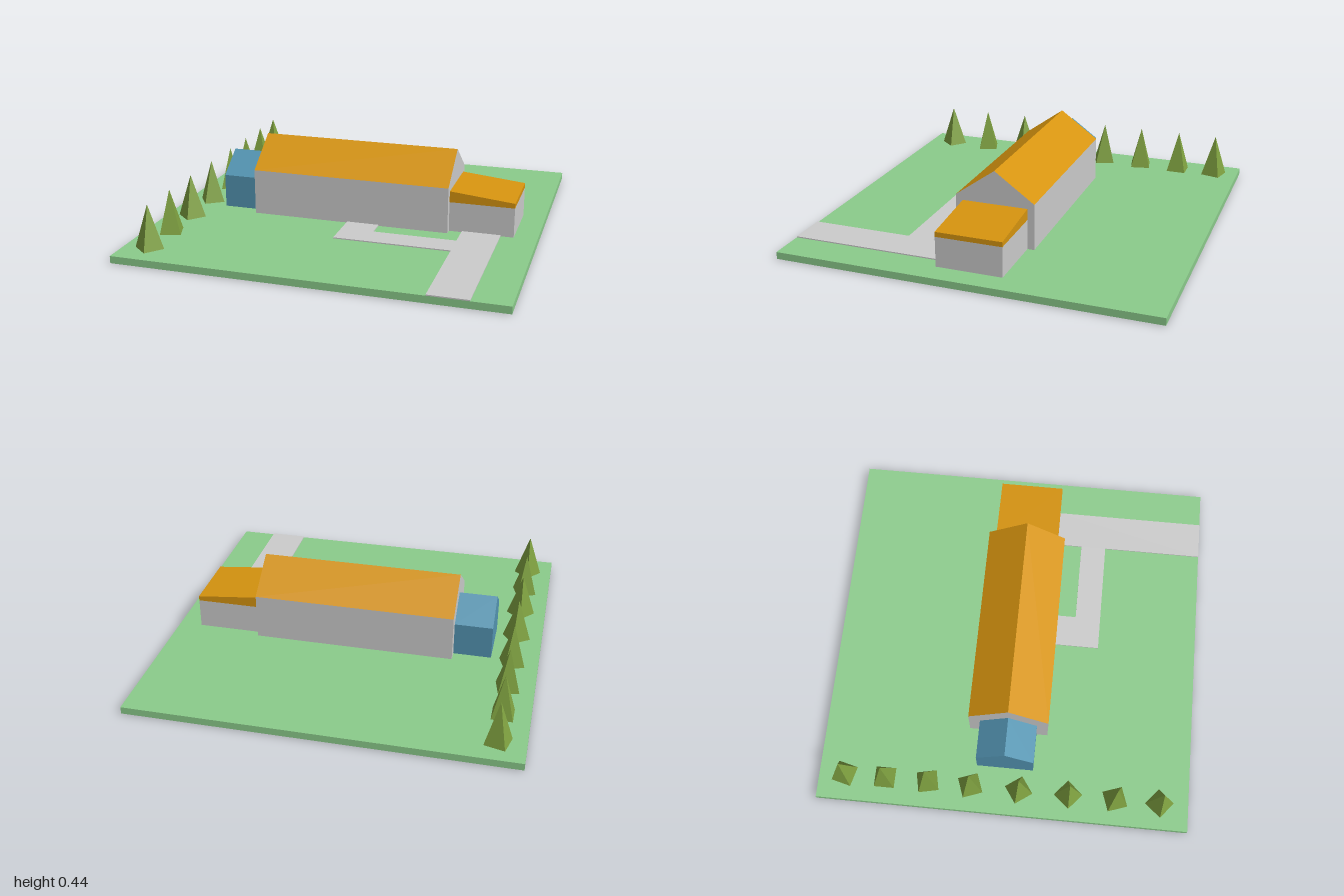
import * as THREE from 'three';

const mat = (name, color) => {
  const m = new THREE.MeshStandardMaterial({ color });
  m.name = name;
  return m;
};

export function createModel() {
  const grass = mat('grass', 0x8bcb8b);
  const wall = mat('wall grey', 0xcbcbcb);
  const roof = mat('roof orange', 0xd6940f);
  const blue = mat('annex blue', 0x5394b1);
  const leaf = mat('tree green', 0x7fa140);

  const model = new THREE.Group();
  model.name = 'houseOnPlot';
  const TOP = 0.04;

  const add = (name, geo, material, parent = model) => {
    const m = new THREE.Mesh(geo, material);
    m.name = name;
    parent.add(m);
    return m;
  };
  const group = (name) => {
    const g = new THREE.Group();
    g.name = name;
    model.add(g);
    return g;
  };
  // Box given by its limits on each axis
  const box = (x0, x1, y0, y1, z0, z1) =>
    new THREE.BoxGeometry(x1 - x0, y1 - y0, z1 - z0)
      .translate((x0 + x1) / 2, (y0 + y1) / 2, (z0 + z1) / 2);
  const extrude = (points, depth) =>
    new THREE.ExtrudeGeometry(
      new THREE.Shape(points.map(([x, y]) => new THREE.Vector2(x, y))),
      { depth, bevelEnabled: false });
  // Triangular roof prism running along x
  const gable = (x0, x1, eave, ridge, half) =>
    extrude([[-half, eave], [half, eave], [0, ridge]], x1 - x0)
      .rotateY(Math.PI / 2).translate(x0, 0, 0);

  // Plot of land
  add('ground', box(-1, 1, 0.002, TOP, -1, 1), grass);

  // Driveway with a walkway bending to the front door; shape y becomes z
  const path = extrude([
    [0.605, 0.17], [0.81, 0.17], [0.81, 1], [0.605, 1], [0.605, 0.455],
    [-0.015, 0.455], [-0.015, 0.2], [0.16, 0.2], [0.16, 0.315], [0.605, 0.315],
  ], 0.007).rotateX(Math.PI / 2).translate(0, TOP + 0.006, 0);
  add('path', path, wall);

  // Main house: grey walls and gable ends, orange slopes
  const house = group('mainHouse');
  add('houseWalls', box(-0.545, 0.535, TOP, 0.287, -0.213, 0.213), wall, house);
  add('houseRoof', gable(-0.545, 0.535, 0.287, 0.44, 0.213), [wall, roof], house);

  // Blue annex on the right-hand end
  const annex = group('annex');
  add('annexWalls', box(-0.748, -0.545, TOP, 0.222, -0.153, 0.153), blue, annex);
  add('annexRoof', gable(-0.748, -0.545, 0.222, 0.332, 0.153), blue, annex);

  // Garage with a lean-to roof falling outwards
  const garage = group('garage');
  add('garageWalls', box(0.535, 0.878, TOP, 0.2, -0.176, 0.175), wall, garage);
  const lean = extrude([[0.535, 0.2], [0.878, 0.2], [0.878, 0.226], [0.535, 0.26]], 0.351);
  add('garageRoof', lean.translate(0, 0, -0.176), roof, garage);

  // Row of four-sided trees: [z, turn in degrees]
  const trees = group('trees');
  const treeGeo = new THREE.ConeGeometry(0.09, 0.273, 4)
    .rotateY(Math.PI / 4).translate(0, 0.1365, 0).toNonIndexed();
  treeGeo.computeVertexNormals();
  [[-0.863, -14], [-0.642, 0], [-0.41, 12], [-0.178, 20],
    [0.085, 35], [0.353, -41], [0.605, 19], [0.845, -40]].forEach(([z, turn], i) => {
    const t = add(`tree${i + 1}`, treeGeo, leaf, trees);
    t.position.set(-0.861, 0, z);
    t.rotation.y = THREE.MathUtils.degToRad(turn);
  });

  return model;
}
